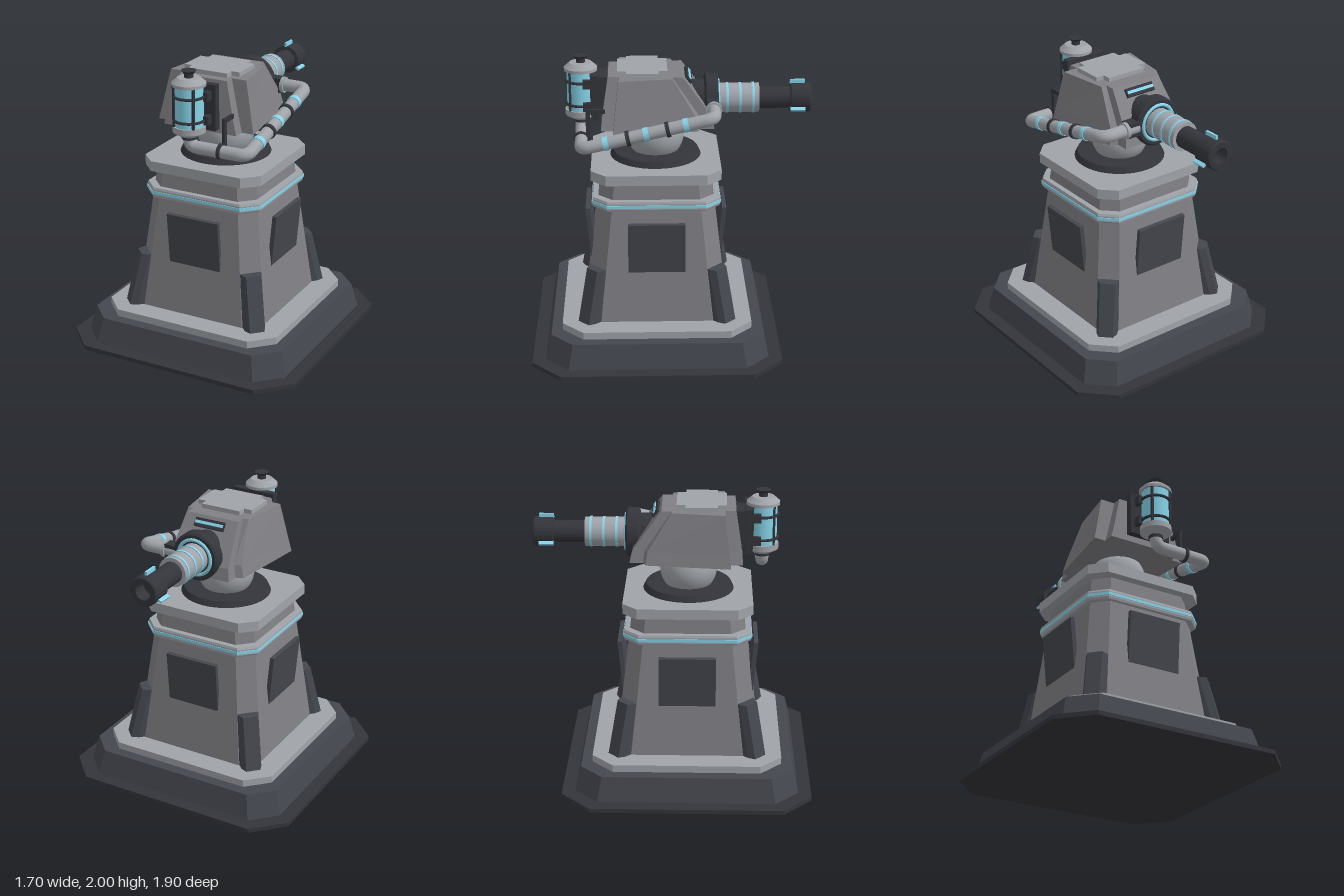
import * as THREE from 'three';

const mat = (color, flatShading = false) => new THREE.MeshStandardMaterial({ color, flatShading });
const LIGHT = 0xa0a4a9, MID = 0x808085, DARK = 0x34353b, PANEL = 0x44474e, BLUE = 0x86d4ea;
const CZ = 0.1; // centre line of the tower

// Skin between stacked outlines; each ring is { y, pts: [[x, z], ...] }
function loft(rings) {
  const pos = [], n = rings[0].pts.length;
  const put = (r, i) => pos.push(r.pts[i % n][0], r.y, r.pts[i % n][1]);
  for (let k = 0; k < rings.length - 1; k++) {
    const a = rings[k], b = rings[k + 1];
    for (let i = 0; i < n; i++) {
      put(a, i); put(a, i + 1); put(b, i + 1);
      put(a, i); put(b, i + 1); put(b, i);
    }
  }
  const cap = (r, flip) => {
    const outline = r.pts.map(p => new THREE.Vector2(p[0], -p[1]));
    for (const f of THREE.ShapeUtils.triangulateShape(outline, []))
      for (const i of flip ? [f[0], f[2], f[1]] : f) put(r, i);
  };
  cap(rings[0], true);
  cap(rings[rings.length - 1], false);
  const g = new THREE.BufferGeometry();
  g.setAttribute('position', new THREE.Float32BufferAttribute(pos, 3));
  g.computeVertexNormals();
  return g;
}

// Square of half-width h with cut corners, flat sides of half-length c
const oct = (y, h, c) => ({
  y, pts: [[-c, h], [c, h], [h, c], [h, -c], [c, -h], [-c, -h], [-h, -c], [-h, c]].map(([x, z]) => [x, z + CZ]),
});

// Outline mirrored over x, given from back to front
const mirrored = (y, half) => ({ y, pts: [...half, ...half.map(([x, z]) => [-x, z]).reverse()] });

export function createModel() {
  const root = new THREE.Group();
  const add = (name, geo, color, x = 0, y = 0, z = 0, parent = root, flat = false) => {
    const m = new THREE.Mesh(geo, mat(color, flat));
    m.name = name;
    m.position.set(x, y, z);
    parent.add(m);
    return m;
  };
  const solid = (name, color, ...rings) => add(name, loft(rings), color, 0, 0, 0, root, true);
  const box = (name, color, w, h, d, x, y, z, parent) => add(name, new THREE.BoxGeometry(w, h, d), color, x, y, z, parent, true);
  // Upright cylinder from y0 to y1
  const post = (name, color, r0, r1, y0, y1, z, segs = 32) =>
    add(name, new THREE.CylinderGeometry(r1, r0, y1 - y0, segs), color, 0, (y0 + y1) / 2, z);

  // Base and tower
  solid('groundPlate', DARK, oct(0, 0.85, 0.65), oct(0.03, 0.85, 0.65));
  solid('baseSkirt', PANEL, oct(0.03, 0.76, 0.6), oct(0.2, 0.72, 0.57));
  solid('baseSlab', LIGHT, oct(0.2, 0.645, 0.5), oct(0.25, 0.645, 0.5));
  solid('towerBody', MID, oct(0.25, 0.49, 0.38), oct(1.23, 0.375, 0.28));
  solid('towerBand', LIGHT, oct(1.04, 0.425, 0.325), oct(1.055, 0.43, 0.33), oct(1.095, 0.43, 0.33), oct(1.11, 0.425, 0.325));
  solid('glowBand', BLUE, oct(1.065, 0.434, 0.332), oct(1.085, 0.434, 0.332));
  solid('towerCap', LIGHT, oct(1.23, 0.437, 0.337), oct(1.3, 0.437, 0.337));

  // Leaning panels and corner buttresses
  for (let i = 0; i < 4; i++) {
    const side = new THREE.Group();
    side.name = 'towerSide';
    side.position.z = CZ;
    side.rotation.y = i * Math.PI / 2;
    root.add(side);
    const panel = box('sidePanel', PANEL, 0.385, 0.36, 0.03, 0, 0.785, 0.452, side);
    panel.rotation.x = 0.09;
    const buttress = add('cornerButtress', loft([
      { y: 0.25, pts: [[-0.072, 0.66], [-0.05, 0.71], [0.05, 0.71], [0.072, 0.66], [0.072, 0.5], [-0.072, 0.5]] },
      { y: 0.62, pts: [[-0.072, 0.57], [-0.05, 0.62], [0.05, 0.62], [0.072, 0.57], [0.072, 0.48], [-0.072, 0.48]] },
    ]), PANEL, 0, 0, 0, side, true);
    buttress.rotation.y = Math.PI / 4;
  }

  // Swivel
  post('swivelDisk', DARK, 0.31, 0.29, 1.3, 1.34, CZ, 40);
  add('swivelBall', new THREE.SphereGeometry(0.195, 40, 24), LIGHT, 0, 1.45, CZ);

  // Turret housing with stepped corners
  solid('turretHousing', MID,
    mirrored(1.555, [[0.27, 0.465], [0.27, 0.385], [0.355, 0.385], [0.29, -0.18], [0.24, -0.2], [0.24, -0.29]]),
    mirrored(1.64, [[0.245, 0.455], [0.245, 0.375], [0.336, 0.375], [0.27, -0.17], [0.225, -0.19], [0.225, -0.27]]),
    mirrored(1.9, [[0.175, 0.415], [0.175, 0.345], [0.28, 0.345], [0.23, -0.01], [0.19, -0.01], [0.19, -0.08]]));
  solid('roofPlate', LIGHT, ...[1.9, 1.93].map(y =>
    mirrored(y, [[0.145, 0.355], [0.145, 0.295], [0.205, 0.295], [0.205, 0.08], [0.145, 0.08], [0.145, 0.02]])));
  const visor = new THREE.Group();
  visor.name = 'visor';
  visor.position.set(0, 1.855, -0.118);
  visor.rotation.x = 0.68;
  root.add(visor);
  box('visorFrame', DARK, 0.22, 0.06, 0.03, 0, 0, 0, visor);
  box('visorSlit', BLUE, 0.21, 0.02, 0.01, 0, 0, -0.016, visor);

  // Gun, built along its own y axis and laid to point to -z
  const gun = new THREE.Group();
  gun.name = 'gun';
  gun.position.y = 1.695;
  gun.rotation.x = -Math.PI / 2;
  root.add(gun);
  const barrel = (name, color, r0, r1, a, b, segs = 32) =>
    add(name, new THREE.CylinderGeometry(r1, r0, b - a, segs), color, 0, (a + b) / 2, 0, gun);
  barrel('mantleBack', DARK, 0.13, 0.13, 0.12, 0.24);
  barrel('mantle', DARK, 0.15, 0.167, 0.228, 0.24);
  barrel('mantle', DARK, 0.167, 0.167, 0.24, 0.31);
  barrel('mantle', DARK, 0.167, 0.155, 0.31, 0.322);
  const halo = add('mantleGlow', new THREE.TorusGeometry(0.122, 0.012, 10, 40), BLUE, 0, 0.322, 0, gun);
  halo.rotation.x = Math.PI / 2;
  barrel('barrelSleeve', LIGHT, 0.1, 0.1, 0.32, 0.6);
  for (const a of [0.385, 0.472, 0.56]) barrel('sleeveRing', BLUE, 0.104, 0.104, a - 0.008, a + 0.008);
  barrel('barrelTube', DARK, 0.074, 0.074, 0.6, 0.83);
  const bore = [[0.07, 0.81], [0.1, 0.815], [0.1, 0.94], [0.092, 0.95], [0.055, 0.95], [0.055, 0.85], [0, 0.85]];
  add('muzzle', new THREE.LatheGeometry(bore.map(p => new THREE.Vector2(...p)), 24), DARK, 0, 0, 0, gun, true);
  for (let i = 0; i < 3; i++) {
    const a = i * Math.PI * 2 / 3;
    const fin = box('muzzleFin', BLUE, 0.016, 0.1, 0.03, Math.sin(a) * 0.11, 0.86, Math.cos(a) * 0.11, gun);
    fin.rotation.y = a;
  }

  // Coolant tank and its cage
  const TZ = 0.6;
  post('tankNeck', DARK, 0.05, 0.05, 1.54, 1.56, TZ);
  post('tankBottomCone', LIGHT, 0.06, 0.108, 1.56, 1.59, TZ);
  post('tankBottom', LIGHT, 0.108, 0.108, 1.59, 1.63, TZ);
  post('tankGlass', BLUE, 0.095, 0.095, 1.63, 1.91, TZ);
  post('tankTop', LIGHT, 0.112, 0.112, 1.9, 1.92, TZ);
  post('tankTopCone', LIGHT, 0.112, 0.075, 1.92, 1.953, TZ);
  post('valveStem', DARK, 0.03, 0.03, 1.95, 1.985, TZ, 20);
  post('valveKnob', DARK, 0.035, 0.05, 1.98, 2, TZ, 20);
  for (const y of [1.67, 1.83]) {
    const hoop = add('cageHoop', new THREE.TorusGeometry(0.1, 0.01, 8, 32), DARK, 0, y, TZ);
    hoop.rotation.x = Math.PI / 2;
    for (const s of [-1, 1]) box('tankClamp', DARK, 0.03, 0.06, 0.1, s * 0.11, y, 0.535);
  }
  for (let i = 0; i < 4; i++) {
    const a = Math.PI / 4 + i * Math.PI / 2;
    box('cageBar', DARK, 0.016, 0.28, 0.016, Math.sin(a) * 0.101, 1.77, TZ + Math.cos(a) * 0.101);
  }
  box('tankMount', DARK, 0.31, 0.31, 0.05, 0, 1.745, 0.505);
  box('tankMountFoot', DARK, 0.2, 0.26, 0.08, 0, 1.745, 0.455);

  // Coolant pipe with rounded bends
  const V = (x, y, z) => new THREE.Vector3(x, y, z);
  const low = V(0.415, 1.485, 0.595), high = V(0.415, 1.69, -0.285);
  const corners = [V(0, 1.57, 0.6), V(0, 1.487, 0.6), low, high, V(0.15, 1.69, -0.285)];
  const path = new THREE.CurvePath();
  let from = corners[0];
  for (let i = 1; i < corners.length - 1; i++) {
    const toward = (p) => corners[i].clone().add(p.clone().sub(corners[i]).setLength(0.065));
    const inn = toward(corners[i - 1]), out = toward(corners[i + 1]);
    path.add(new THREE.LineCurve3(from, inn));
    path.add(new THREE.QuadraticBezierCurve3(inn, corners[i], out));
    from = out;
  }
  path.add(new THREE.LineCurve3(from, corners[corners.length - 1]));
  add('coolantPipe', new THREE.TubeGeometry(path, 140, 0.043, 20), LIGHT);
  const collar = (name, color, r, len, p, dir) => {
    const m = add(name, new THREE.CylinderGeometry(r, r, len, 24), color, p.x, p.y, p.z);
    m.quaternion.setFromUnitVectors(V(0, 1, 0), dir.clone().normalize());
  };
  [0.43, 0.285, 0.165, 0.025, -0.095].forEach((z, i) => {
    const p = low.clone().lerp(high, (low.z - z) / (low.z - high.z));
    collar('pipeRing', i % 2 ? DARK : BLUE, i % 2 ? 0.052 : 0.047, i % 2 ? 0.025 : 0.035, p, high.clone().sub(low));
  });
  collar('pipeFlange', LIGHT, 0.055, 0.025, V(0.245, 1.69, -0.285), V(1, 0, 0));
  box('pipeSocket', DARK, 0.1, 0.1, 0.08, 0.185, 1.69, -0.28);
  collar('pipeClamp', DARK, 0.053, 0.022, V(0.23, 1.487, 0.598), V(1, 0, 0));
  // Hanger between pipe and housing
  box('pipeHanger', DARK, 0.02, 0.22, 0.03, 0.23, 1.585, 0.55);
  box('hangerFoot', DARK, 0.02, 0.03, 0.13, 0.23, 1.68, 0.5);

  return root;
}
